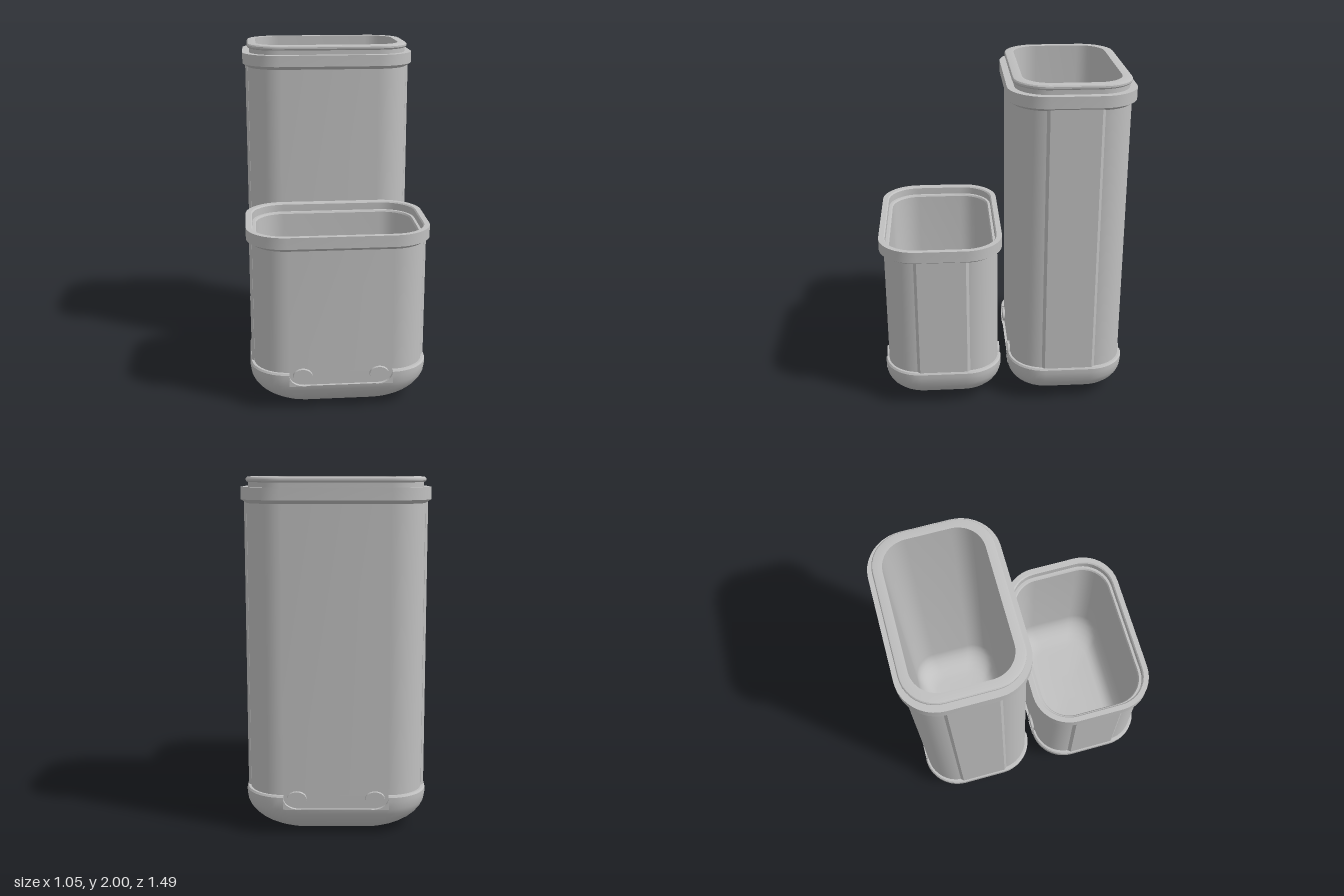
import * as THREE from 'three';
import { toCreasedNormals } from 'three/addons/utils/BufferGeometryUtils.js';

const grey = new THREE.MeshStandardMaterial({ color: 0xc0c0c0 });
grey.name = 'plain grey';

const STEPS = 10;
const WALL_Z = 0.337, NOTCH_Y = 0.155, LIP_Y = 0.235;
const rad = THREE.MathUtils.degToRad;

// Rounded rectangle at height y; its long edges can be pushed in to `notch`
function ring([hx, hz, r, y, notch = Infinity]) {
  const pts = [];
  for (let q = 0; q < 4; q++) {
    const sx = q === 0 || q === 3 ? 1 : -1, sz = q < 2 ? -1 : 1;
    const edge = new THREE.Vector3(sx * (hx - r), y, sz * Math.min(hz, notch));
    if (q % 2) pts.push(edge);
    for (let i = 0; i <= STEPS; i++) {
      const a = (q + i / STEPS) * Math.PI / 2;
      pts.push(new THREE.Vector3(sx * (hx - r) + r * Math.cos(a), y, sz * (hz - r) - r * Math.sin(a)));
    }
    if (q % 2 === 0) pts.push(edge);
  }
  return pts;
}

// Skin a list of sections, closing the first and the last
function loft(sections) {
  const rings = sections.map(ring), pos = [], n = rings[0].length;
  const tri = (...v) => v.forEach(p => pos.push(p.x, p.y, p.z));
  const first = rings[0], last = rings[rings.length - 1];
  const c0 = new THREE.Vector3(0, first[0].y, 0), c1 = new THREE.Vector3(0, last[0].y, 0);
  for (let i = 0; i < n; i++) {
    const j = (i + 1) % n;
    tri(first[j], first[i], c0);
    for (let k = 0; k + 1 < rings.length; k++) {
      const b = rings[k], t = rings[k + 1];
      tri(b[i], b[j], t[j]);
      tri(b[i], t[j], t[i]);
    }
    tri(last[i], last[j], c1);
  }
  const g = new THREE.BufferGeometry();
  g.setAttribute('position', new THREE.Float32BufferAttribute(pos, 3));
  return toCreasedNormals(g, rad(28));
}

// Rounded foot with notches in its lip
function footSections() {
  const at = (deg, notch) => {
    const k = (1 - Math.cos(rad(deg))) / (1 - Math.cos(rad(70)));
    const y = 0.2 * (1 - Math.sin(rad(deg)) / Math.sin(rad(70)));
    return [0.516 - 0.225 * k, 0.357 - 0.143 * k, 0.22 - 0.09 * k, y, notch];
  };
  return [
    ...[70, 62, 54, 46, 38, 30, 21, 12].map(d => at(d)),
    at(12, WALL_Z), at(0, WALL_Z),
    [0.516, 0.357, 0.22, LIP_Y - 0.01, WALL_Z],
    [0.509, 0.35, 0.214, LIP_Y, WALL_Z],
  ];
}

// Inner wall and rounded floor of the cavity
function cavitySections(hx, hz, r) {
  const out = [];
  for (let d = 0; d <= 90; d += 15) {
    const k = 1 - Math.cos(rad(d));
    out.push([hx - 0.16 * k, hz - 0.11 * k, r - 0.06 * k, 0.22 - 0.16 * Math.sin(rad(d))]);
  }
  return out;
}

// Outer wall with the flared rim; `top` is the rim's upper face
const wallSections = top => [
  [0.493, WALL_Z, 0.197, LIP_Y],
  [0.493, WALL_Z, 0.197, top - 0.087],
  [0.525, 0.365, 0.225, top - 0.067],
  [0.525, 0.365, 0.225, top],
];

// Neck with a sealing bead
const neckSections = [
  [0.483, 0.323, 0.185, 1.945], [0.483, 0.323, 0.185, 1.971],
  [0.491, 0.331, 0.193, 1.974], [0.496, 0.336, 0.198, 1.981],
  [0.496, 0.336, 0.198, 1.991], [0.491, 0.331, 0.193, 1.998],
  [0.485, 0.325, 0.187, 2], [0.442, 0.28, 0.155, 2],
];

// Stepped seat inside the open rim
const seatSections = [
  [0.494, 0.334, 0.195, 1.05], [0.487, 0.327, 0.19, 1.043],
  [0.487, 0.327, 0.19, 1.0], [0.472, 0.312, 0.178, 1.0],
  [0.465, 0.305, 0.17, 0.99],
];

function container(name, top, mouth, cavity) {
  const group = new THREE.Group();
  group.name = name;
  const add = (geo, label, parent = group) => {
    const m = new THREE.Mesh(geo, grey);
    m.name = label;
    parent.add(m);
    return m;
  };
  add(loft([...footSections(), ...wallSections(top), ...mouth, ...cavitySections(...cavity)]), 'shell');

  // Raised side panels with slanted edges
  const section = new THREE.Shape([[0.48, -0.16], [0.493, -0.16], [0.508, -0.143],
    [0.508, 0.143], [0.493, 0.16], [0.48, 0.16]].map(p => new THREE.Vector2(...p)));
  const panel = new THREE.ExtrudeGeometry(section, { depth: top - 0.075 - 0.225, bevelEnabled: false });
  panel.rotateX(-Math.PI / 2).translate(0, 0.225, 0);
  for (const turn of [0, Math.PI]) add(panel, 'sidePanel').rotation.y = turn;

  // Rounded notch corners and oval buttons on both long faces
  const fillet = new THREE.Shape();
  fillet.moveTo(0.2, NOTCH_Y);
  fillet.lineTo(0.298, NOTCH_Y);
  fillet.lineTo(0.298, LIP_Y - 0.005);
  fillet.bezierCurveTo(0.298, 0.19, 0.27, NOTCH_Y, 0.2, NOTCH_Y);
  const corner = new THREE.ExtrudeGeometry(fillet, { depth: 0.025, bevelEnabled: false });
  const mirrored = new THREE.Shape(fillet.getPoints(8).map(p => new THREE.Vector2(-p.x, p.y)));
  const cornerMirror = new THREE.ExtrudeGeometry(mirrored, { depth: 0.025, bevelEnabled: false });
  const button = new THREE.CylinderGeometry(0.054, 0.058, 0.03, 32);
  button.rotateX(Math.PI / 2).scale(1, 0.76, 1);
  for (const turn of [0, Math.PI]) {
    const face = new THREE.Group();
    face.name = 'buttonFace';
    face.rotation.y = turn;
    add(corner, 'notchCorner', face).position.z = 0.331;
    add(cornerMirror, 'notchCorner', face).position.z = 0.331;
    for (const s of [-1, 1]) add(button, 'button', face).position.set(s * 0.22, 0.215, WALL_Z);
    group.add(face);
  }
  return group;
}

export function createModel() {
  const model = new THREE.Group();
  model.name = 'twoPartCase';
  const tall = container('tallContainer', 1.945, neckSections, [0.442, 0.28, 0.155]);
  tall.position.z = -0.378;
  const short = container('shortContainer', 1.05, seatSections, [0.465, 0.305, 0.17]);
  short.position.z = 0.378;
  model.add(tall, short);
  return model;
}
